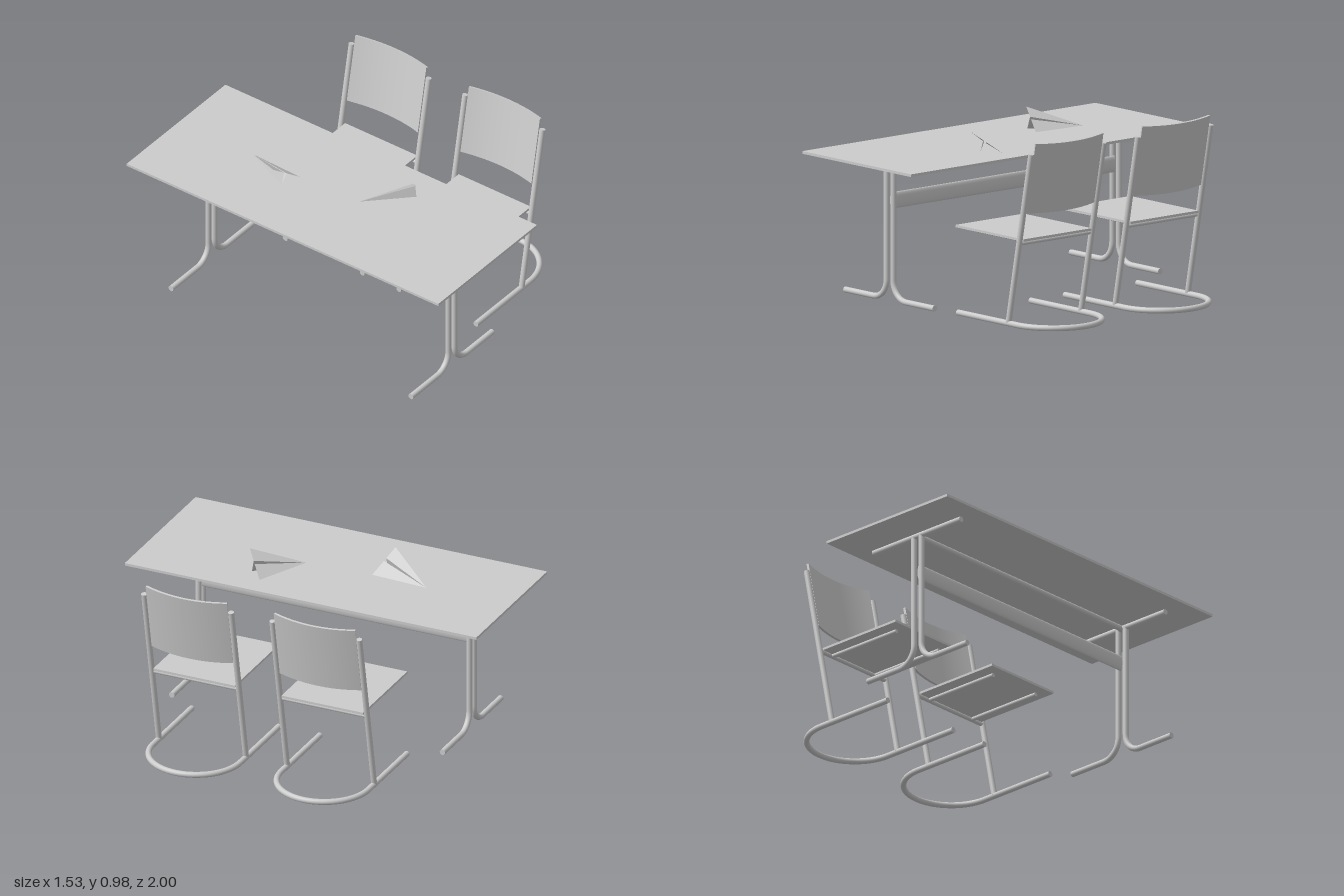
import * as THREE from 'three';
import { toCreasedNormals } from 'three/addons/utils/BufferGeometryUtils.js';

const grey = new THREE.MeshStandardMaterial({ color: 0xcccccc });
const paper = new THREE.MeshStandardMaterial({ color: 0xcccccc, side: THREE.DoubleSide, flatShading: true });
const R = 0.0155; // tube radius
const V = (x, y, z) => new THREE.Vector3(x, y, z);

function add(parent, name, geometry, x = 0, y = 0, z = 0, material = grey) {
  const mesh = new THREE.Mesh(geometry, material);
  mesh.name = name;
  mesh.position.set(x, y, z);
  parent.add(mesh);
  return mesh;
}

// Straight round bar between two points
function bar(parent, name, a, b, r = R) {
  const mid = a.clone().add(b).multiplyScalar(0.5);
  const mesh = add(parent, name, new THREE.CylinderGeometry(r, r, a.distanceTo(b), 16), mid.x, mid.y, mid.z);
  mesh.quaternion.setFromUnitVectors(V(0, 1, 0), b.clone().sub(a).normalize());
  return mesh;
}

// A flat path lifted into space by a mapping function
class LiftedCurve extends THREE.Curve {
  constructor(path, lift) {
    super();
    this.path = path;
    this.lift = lift;
  }
  getPoint(t) {
    const p = this.path.getPoint(t);
    return this.lift(p.x, p.y);
  }
}

// Bent tube with closed ends
function bentTube(parent, name, path, lift) {
  const group = new THREE.Group();
  group.name = name;
  const curve = new LiftedCurve(path, lift);
  add(group, name + 'Tube', new THREE.TubeGeometry(curve, 72, R, 16));
  for (const t of [0, 1]) {
    const p = curve.getPoint(t);
    const cap = add(group, name + 'End', new THREE.CircleGeometry(R, 16), p.x, p.y, p.z);
    cap.lookAt(p.clone().addScaledVector(curve.getTangent(t), t ? 1 : -1));
  }
  parent.add(group);
}

function buildTable() {
  const table = new THREE.Group();
  table.name = 'table';
  add(table, 'tabletop', new THREE.BoxGeometry(0.845, 0.014, 2), -0.3425, 0.782, 0);

  const cx = -0.345;
  for (const z of [-0.77, 0.77]) {
    bar(table, 'topSupport', V(-0.65, 0.76, z), V(-0.037, 0.76, z));
    // Mirrored pair of legs, each bending outward into a foot
    for (const s of [-1, 1]) {
      const path = new THREE.Path();
      path.moveTo(0.026, 0.76);
      path.lineTo(0.026, 0.147);
      path.absarc(0.126, 0.147, 0.1, Math.PI, Math.PI * 1.5, false);
      path.lineTo(0.348, 0.047);
      bentTube(table, 'leg', path, (x, y) => V(cx + s * x, y, z));
    }
  }
  bar(table, 'longRail', V(cx, 0.76, -0.77), V(cx, 0.76, 0.77));
  // Flattened oval stretcher
  const stretcher = add(table, 'stretcher', new THREE.CylinderGeometry(0.043, 0.043, 1.52, 24), cx, 0.561, 0);
  stretcher.rotation.x = Math.PI / 2;
  stretcher.scale.x = 0.26;
  return table;
}

function buildChair(z) {
  const chair = new THREE.Group();
  chair.name = 'chair';
  chair.position.z = z;
  const w = 0.2475;

  // U-shaped floor loop
  const loop = new THREE.Path();
  loop.moveTo(0.037, -w);
  loop.lineTo(0.5, -w);
  loop.absarc(0.5, 0, w, -Math.PI / 2, Math.PI / 2, false);
  loop.lineTo(0.037, w);
  bentTube(chair, 'floorLoop', loop, (x, y) => V(x, R, y));

  // Leaning frame: uprights and curved backrest
  const back = new THREE.Group();
  back.name = 'backFrame';
  back.position.set(0.43, 0.02, 0);
  back.rotation.z = -0.193;
  chair.add(back);
  for (const s of [-1, 1]) bar(back, 'upright', V(0, 0, s * w), V(0, 0.922, s * w));

  const radius = 0.733, half = 0.319, cx = 0.037 - radius;
  const arc = new THREE.Shape();
  arc.absarc(cx, 0, radius + 0.006, -half, half, false);
  arc.absarc(cx, 0, radius - 0.006, half, -half, true);
  const plate = new THREE.ExtrudeGeometry(arc, { depth: 0.38, bevelEnabled: false, curveSegments: 24 });
  plate.rotateX(-Math.PI / 2);
  add(back, 'backrest', toCreasedNormals(plate, 0.5), 0, 0.597, 0);

  // Seat board and the bars beneath it
  add(chair, 'seat', new THREE.BoxGeometry(0.53, 0.013, 0.464), 0.265, 0.46, 0);
  for (const s of [-1, 1]) bar(chair, 'seatRail', V(0.057, 0.443, s * 0.16), V(0.51, 0.443, s * 0.16), 0.011);
  bar(chair, 'seatCrossbar', V(0.51, 0.443, -w), V(0.51, 0.443, w), 0.011);
  return chair;
}

// Folded dart resting on one wing: two wings and a V-shaped keel
function paperPlane(nose, low, high, keel) {
  const a = low.clone().lerp(high, 0.5), b = low.clone().lerp(high, 0.6);
  const points = [];
  for (const [p, q] of [[low, a], [a, keel], [keel, b], [b, high]]) points.push(nose, p, q);
  const geometry = new THREE.BufferGeometry().setFromPoints(points);
  geometry.computeVertexNormals();
  return geometry;
}

export function createModel() {
  const model = new THREE.Group();
  model.name = 'tableAndChairs';
  model.add(buildTable(), buildChair(-0.337), buildChair(0.392));
  add(model, 'paperPlaneBack', paperPlane(
    V(-0.317, 0.795, -0.525), V(-0.33, 0.797, -0.212), V(-0.477, 0.903, -0.275), V(-0.44, 0.795, -0.25)), 0, 0, 0, paper);
  add(model, 'paperPlaneFront', paperPlane(
    V(-0.315, 0.795, 0.155), V(-0.027, 0.797, 0.285), V(-0.143, 0.903, 0.395), V(-0.105, 0.795, 0.365)), 0, 0, 0, paper);
  return model;
}
